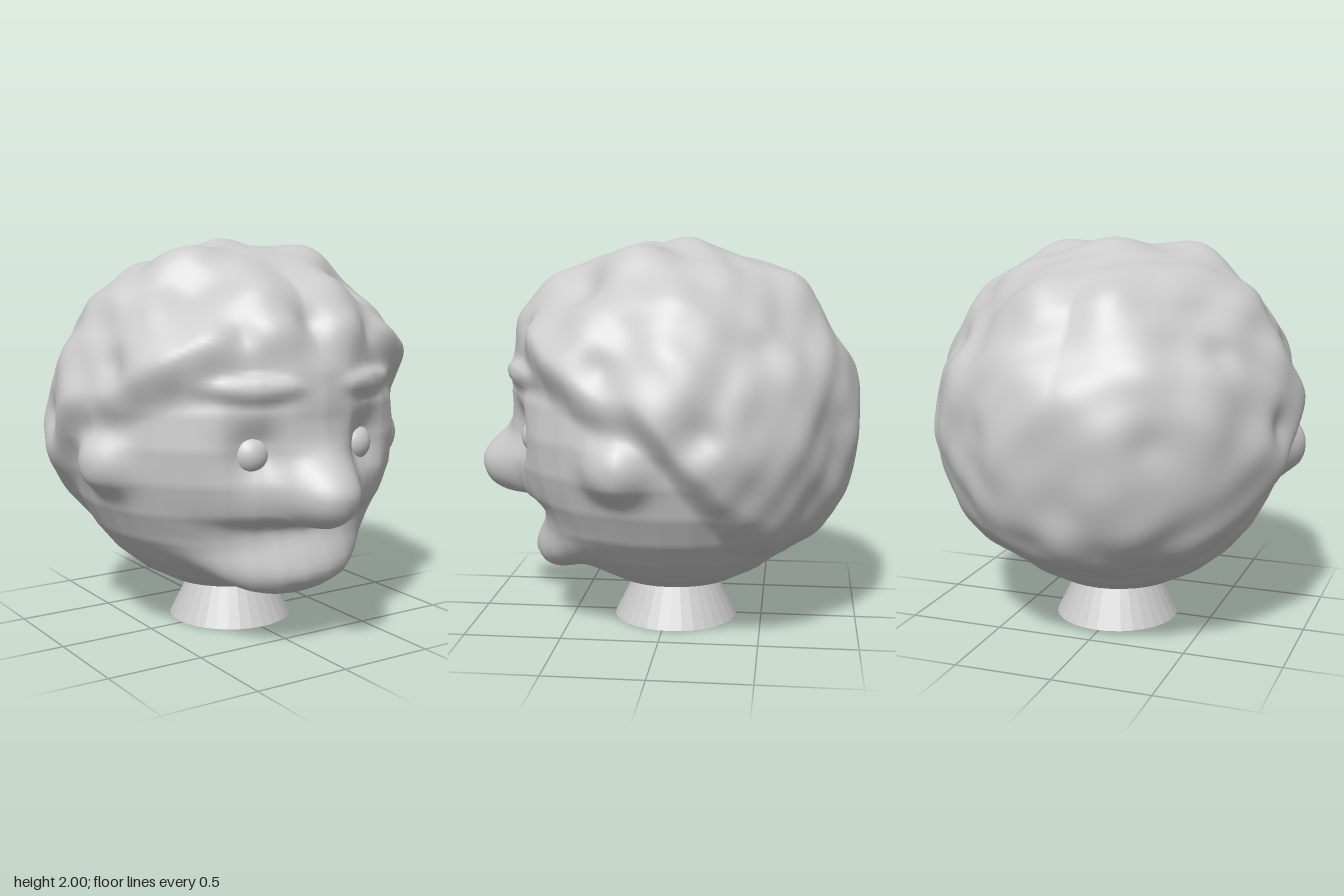
import * as THREE from 'three';
import { mergeVertices } from 'three/addons/utils/BufferGeometryUtils.js';

const R = 0.87, CY = 1.04, CZ = -0.04, SEGS = 32, RINGS = 16;
const { smoothstep, lerp, clamp } = THREE.MathUtils;
const material = new THREE.MeshStandardMaterial({ color: 0xcccccc });

// Radius of the faceted skull sphere in direction d
function facetRadius(d) {
  const step = Math.PI / RINGS, wedge = (2 * Math.PI) / SEGS;
  const ring = Math.min(RINGS - 1, Math.floor(Math.acos(clamp(d.y, -1, 1)) / step + 1e-5));
  const t0 = ring * step, t1 = t0 + step, apothem = Math.cos(wedge / 2);
  const a = [Math.sin(t0) * apothem, Math.cos(t0)], b = [Math.sin(t1) * apothem, Math.cos(t1)];
  const n = [a[1] - b[1], b[0] - a[0]];
  const phi = Math.atan2(d.z, d.x);
  const off = phi - (Math.floor(phi / wedge + 1e-5) + 0.5) * wedge;
  const flat = Math.hypot(d.x, d.z) * Math.cos(off);
  return (R * (n[0] * a[0] + n[1] * a[1])) / (n[0] * flat + n[1] * d.y);
}

// Hairline height along the side, as [z, y] on the unit sphere
const hairline = [[-1, -0.8], [-0.6, -0.72], [-0.36, -0.54], [-0.16, -0.22], [-0.04, -0.04],
  [0.14, 0.1], [0.44, 0.18], [0.64, 0.31], [1, 0.38]];
function hairlineAt(z) {
  for (let i = 1; i < hairline.length; i++) {
    const [z0, y0] = hairline[i - 1], [z1, y1] = hairline[i];
    if (z <= z1) return y0 + ((y1 - y0) * (z - z0)) / (z1 - z0);
  }
  return hairline[hairline.length - 1][1];
}

// Hair coverage: crisper above the ears, soft on the forehead and the nape
function hairAmount(d) {
  const soft = 0.16 + 0.16 * smoothstep(-d.z, 0.05, 0.5) + 0.12 * smoothstep(d.z, 0.45, 0.8);
  const wavy = hairlineAt(d.z) + 0.015 * Math.sin(17 * d.z);
  return smoothstep(d.y - wavy, -0.09, soft);
}

// Mirrored hair locks: direction x, y, z, spread, height
const locks = [
  [0.22, 0.74, 0.64, 0.18, 0.07], [0.2, 0.52, 0.83, 0.15, 0.055], [0.54, 0.5, 0.68, 0.15, 0.05],
  [0.72, 0.34, 0.6, 0.19, 0.065], [0.7, 0.58, 0.4, 0.17, 0.04], [0, 0.62, 0.78, 0.09, -0.045],
  [0.38, 0.55, 0.74, 0.07, -0.025], [0.47, 0.75, 0.42, 0.12, -0.03],
  [0.4, 0.89, 0.2, 0.19, 0.07], [0.94, 0.2, 0.02, 0.28, 0.045], [0.86, 0.42, 0.3, 0.1, -0.03],
  [0.7, 0.7, -0.08, 0.24, 0.055], [0.95, 0.08, -0.25, 0.1, -0.03], [0.7, 0.5, -0.5, 0.1, -0.035],
  [0.22, 0.74, -0.66, 0.2, 0.06], [0.24, 0.2, -0.95, 0.22, 0.045], [0.22, 0.45, -0.88, 0.14, 0.02],
  [0.65, 0.3, -0.68, 0.2, 0.035], [0.45, 0.1, -0.88, 0.1, -0.02], [0.85, -0.05, -0.5, 0.16, 0.02],
  [0.3, -0.3, -0.9, 0.2, 0.02],
].map(([x, y, z, s, h]) => ({ c: new THREE.Vector3(x, y, z).normalize(), s, h }));

// Mirrored facial relief: x, y, half width, half height, depth, falloff power
const features = [
  [0, 0.825, 0.17, 0.155, 0.2, 2.8],      // nose
  [0, 0.585, 0.38, 0.07, -0.07, 2.4],     // mouth crease
  [0, 0.415, 0.43, 0.095, 0.14, 3.6],     // lower lip and chin
  [0.33, 1.03, 0.135, 0.15, -0.095, 2.2], // eye socket
  [0, 1.34, 0.26, 0.12, 0.035, 3],        // middle of the forehead
  [0.33, 1.32, 0.2, 0.05, 0.045, 4],      // brow
];

function headRadius(d) {
  const ax = Math.abs(d.x), m = new THREE.Vector3(ax, d.y, d.z);
  const hair = hairAmount(d);
  let r = lerp(facetRadius(d), R, hair);

  // Hair volume, locks and fine waves
  let volume = 0.07;
  for (const { c, s, h } of locks) volume += h * Math.exp(-m.distanceToSquared(c) / (s * s));
  const warp = 1.2 * Math.sin(5 * d.y + 2 * d.z);
  const wave = 0.011 * Math.sin(13 * d.z + 4 * d.y + warp) * Math.cos(7 * d.x)
    + 0.012 * Math.cos(15 * d.x + warp * d.x * 2) * Math.sin(8 * d.y - 6 * d.z)
    + 0.006 * Math.sin(21 * d.z + 9 * d.x) * Math.sin(17 * d.y + 6 * d.x);
  volume += wave * (1 - 0.6 * smoothstep(d.z, 0.3, 0.7));
  r += hair * volume;

  // Ears
  const ear = Math.hypot((d.y + 0.11) / 0.16, (d.z - 0.23) / 0.17);
  if (ax > 0.5) r += 0.11 * Math.exp(-Math.pow(ear, 2.6));

  // Face
  if (d.z > 0) {
    const x = ax * R, y = d.y * R + CY;
    for (const [cx, cy, sx, sy, h, p] of features) {
      // the mouth curves up toward its corners
      const lift = cy < 0.7 ? 0.3 * x * x : 0;
      r += h * Math.exp(-Math.pow(Math.hypot((x - cx) / sx, (y - cy - lift) / sy), p));
    }
  }
  return r;
}

function add(group, name, geometry, x, y, z, mat = material) {
  const mesh = new THREE.Mesh(geometry, mat);
  mesh.name = name;
  mesh.position.set(x, y, z);
  group.add(mesh);
}

export function createModel() {
  const group = new THREE.Group();
  group.name = 'characterHead';

  // Sculpted head with hair, ears, nose and mouth
  let head = new THREE.SphereGeometry(1, SEGS * 8, RINGS * 8);
  head.deleteAttribute('uv');
  head.deleteAttribute('normal');
  head = mergeVertices(head, 1e-5);
  const pos = head.attributes.position, d = new THREE.Vector3();
  for (let i = 0; i < pos.count; i++) {
    d.fromBufferAttribute(pos, i).normalize();
    d.multiplyScalar(headRadius(d));
    pos.setXYZ(i, d.x, d.y, d.z);
  }
  head.computeVertexNormals();
  add(group, 'head', head, 0, CY, CZ);

  // Eyeballs
  for (const side of [-1, 1]) {
    add(group, side > 0 ? 'leftEye' : 'rightEye', new THREE.SphereGeometry(0.1, 32, 20), side * 0.305, 1.01, 0.62);
  }

  // Flared neck
  const flat = material.clone();
  flat.flatShading = true;
  add(group, 'neck', new THREE.CylinderGeometry(0.205, 0.325, 0.24, 32), 0.01, 0.12, CZ, flat);
  return group;
}
